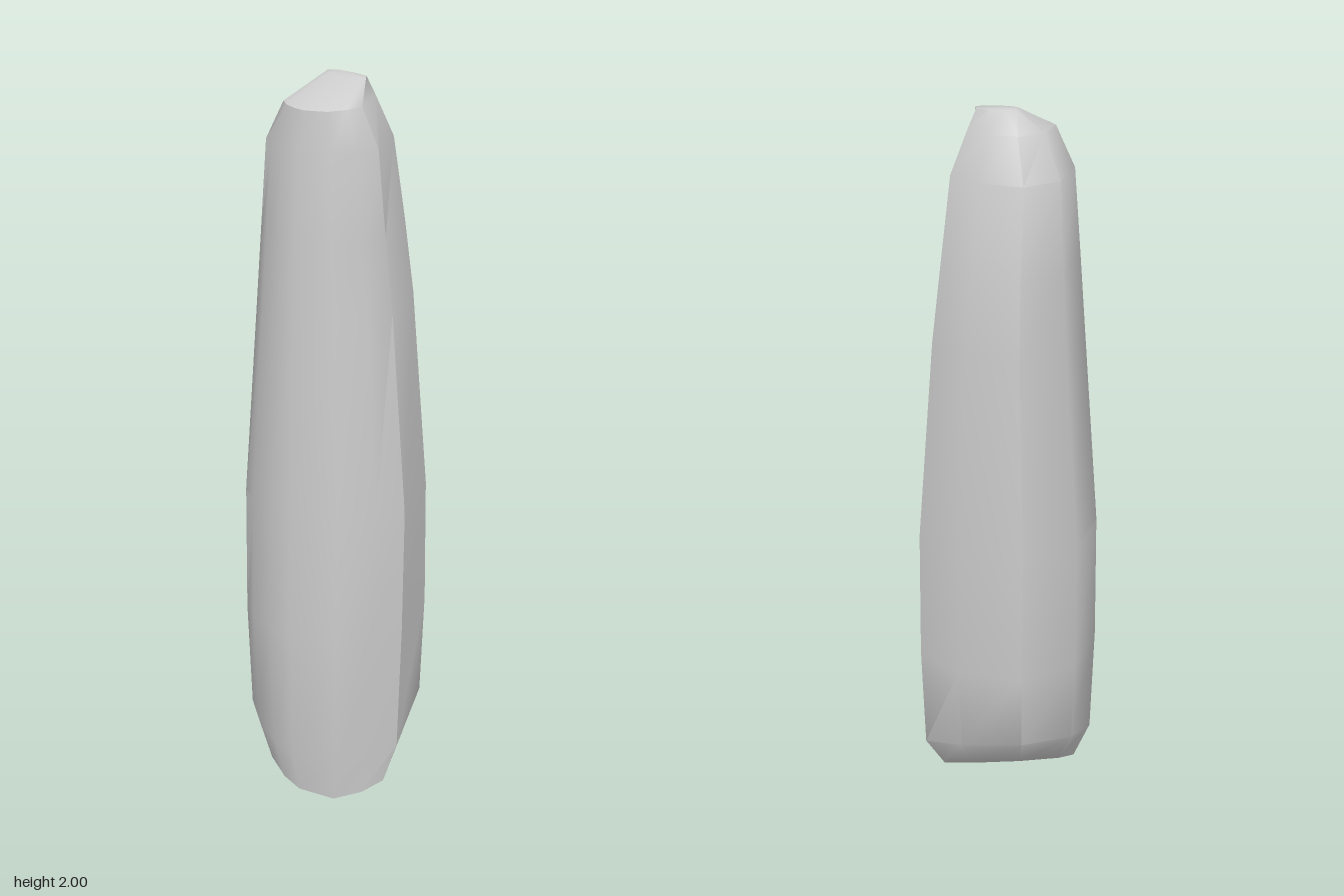
import * as THREE from 'three';
import { toCreasedNormals } from 'three/addons/utils/BufferGeometryUtils.js';

// Irregular plan outline of the stone (x, z), scaled to fit each ring
const outline = [
  [-0.13, -0.22], [0.05, -0.23], [0.19, -0.16], [0.23, 0.055], [0.18, 0.13], [0.1, 0.2],
  [-0.03, 0.225], [-0.1, 0.21], [-0.175, 0.17], [-0.225, 0.12], [-0.235, -0.085],
];

// Rings from bottom to top: y, slope along x, slope along z, then x and z limits
const rings = [
  [0.11, -0.25, -0.5, -0.17, 0.18, -0.14, 0.2],
  [0.2, -0.2, -0.35, -0.22, 0.22, -0.21, 0.215],
  [0.5, 0, 0, -0.23, 0.228, -0.225, 0.225],
  [0.85, 0, 0, -0.23, 0.228, -0.218, 0.217],
  [1.4, 0, 0, -0.19, 0.185, -0.19, 0.197],
  [1.6, 0, 0, -0.175, 0.165, -0.165, 0.187],
  [1.83, 0, 0, -0.155, 0.15, -0.11, 0.175],
  [1.94, 0, -0.05, -0.1, 0.11, -0.06, 0.163],
  [1.995, -0.05, 0, -0.03, 0.085, -0.015, 0.03],
];

const remap = (v, a, b, lo, hi) => lo + (v - a) / (b - a) * (hi - lo);

function stoneGeometry() {
  const n = outline.length;
  const pos = [], index = [];
  for (const [y0, sx, sz, x0, x1, z0, z1] of rings) {
    for (const [ox, oz] of outline) {
      let x = remap(ox, -0.235, 0.23, x0, x1);
      let z = remap(oz, -0.23, 0.225, z0, z1);
      const y = Math.max(0, y0 + sx * x + sz * z);
      // Slanted flat plane cut into the lower front left
      const reach = 0.8 * x + 0.6 * z, limit = 0.19 + 0.04 * y;
      if (y < 0.8 && reach > limit) {
        x -= 0.8 * (reach - limit);
        z -= 0.6 * (reach - limit);
      }
      pos.push(x, y, z);
    }
  }
  // Side walls
  for (let r = 0; r < rings.length - 1; r++) {
    for (let i = 0; i < n; i++) {
      const a = r * n + i, b = r * n + (i + 1) % n;
      index.push(a, a + n, b, b, a + n, b + n);
    }
  }
  // Slanted underside and tip
  const last = (rings.length - 1) * n, base = pos.length / 3;
  pos.push(0, 0.13, 0.02, 0, 2, 0);
  for (let i = 0; i < n; i++) {
    const j = (i + 1) % n;
    index.push(base, i, j, base + 1, last + j, last + i);
  }
  const geo = new THREE.BufferGeometry();
  geo.setAttribute('position', new THREE.Float32BufferAttribute(pos, 3));
  geo.setIndex(index);
  return toCreasedNormals(geo, 0.75);
}

export function createModel() {
  const group = new THREE.Group();
  const stone = new THREE.Mesh(stoneGeometry(), new THREE.MeshStandardMaterial({ color: 0xcccccc }));
  stone.name = 'standingStone';
  group.add(stone);
  return group;
}
